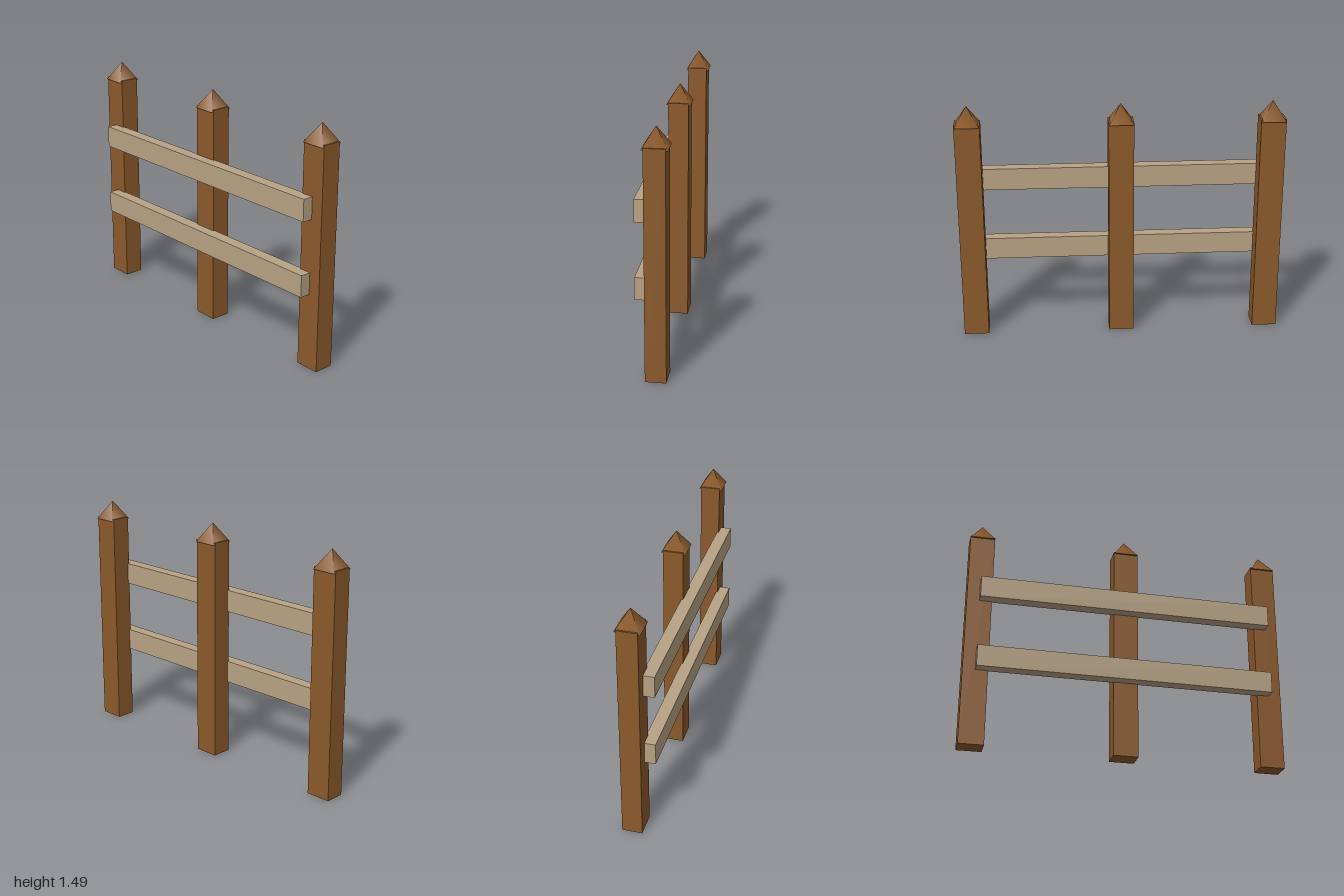
import * as THREE from 'three';

export function createModel() {
  const fence = new THREE.Group();
  fence.name = 'fence';
  const postWood = new THREE.MeshStandardMaterial({ color: 0x8b5a2b });
  const railWood = new THREE.MeshStandardMaterial({ color: 0xb8a284 });

  const add = (name, geometry, material, x, y, z) => {
    const mesh = new THREE.Mesh(geometry, material);
    mesh.name = name;
    mesh.position.set(x, y, z);
    fence.add(mesh);
  };

  // Posts, each topped by a four-sided pointed cap that overhangs front and back
  const postZ = -0.027;
  const postHeight = 1.385;
  const capHeight = 0.118;
  const postGeometry = new THREE.BoxGeometry(0.154, postHeight, 0.123);
  const capGeometry = new THREE.ConeGeometry(0.074 * Math.SQRT2, capHeight, 4).rotateY(Math.PI / 4);
  for (const [side, x] of [['right', -0.923], ['middle', 0], ['left', 0.923]]) {
    add(`${side}Post`, postGeometry, postWood, x, postHeight / 2, postZ);
    add(`${side}PostCap`, capGeometry, postWood, x, 1.373 + capHeight / 2, postZ);
  }

  // Two horizontal rails fixed to the front of the posts
  const railGeometry = new THREE.BoxGeometry(1.846, 0.136, 0.077);
  add('lowerRail', railGeometry, railWood, 0, 0.54, 0.0625);
  add('upperRail', railGeometry, railWood, 0, 1.002, 0.0625);

  return fence;
}
